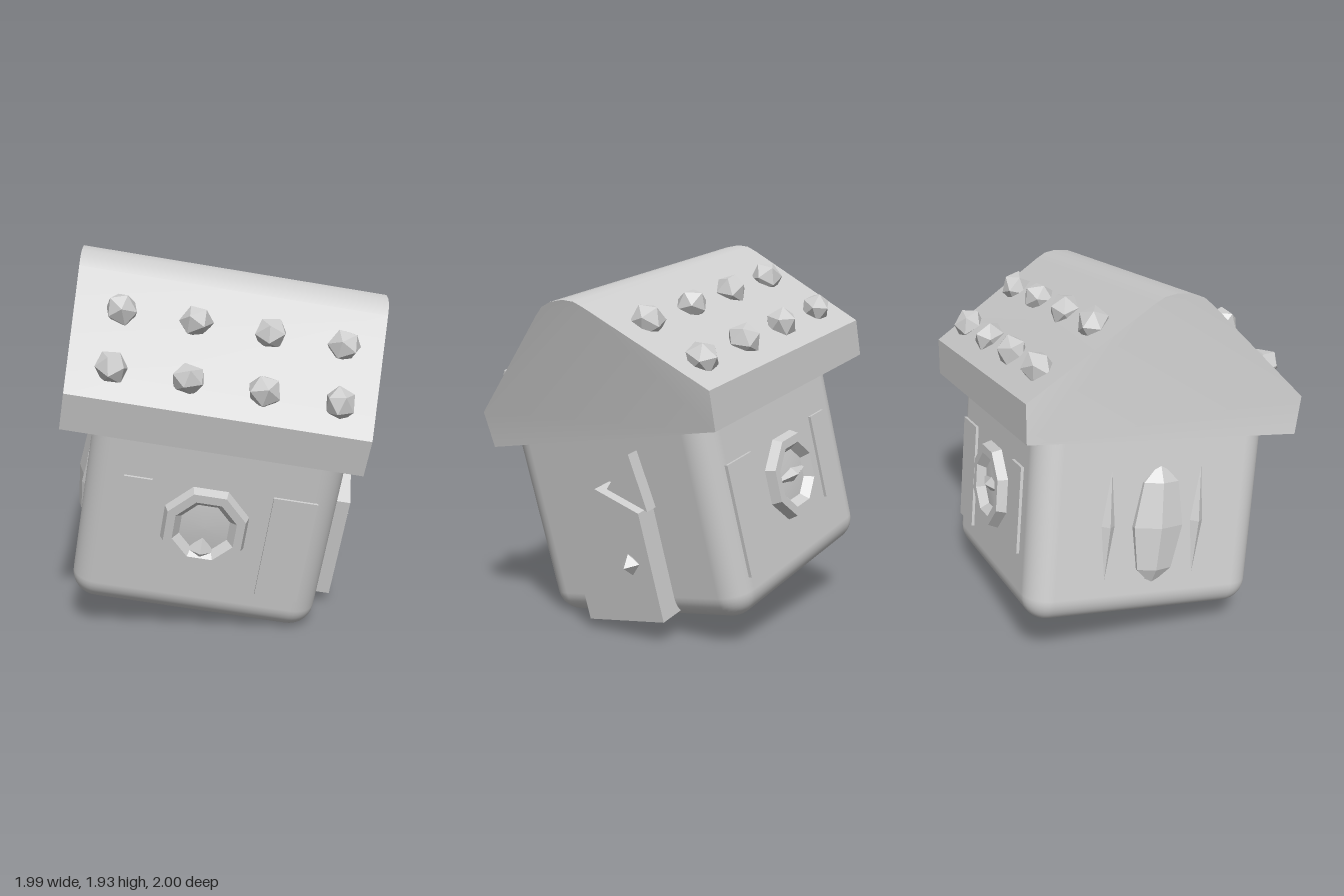
import * as THREE from 'three';
import { toCreasedNormals } from 'three/addons/utils/BufferGeometryUtils.js';
import { RoundedBoxGeometry } from 'three/addons/geometries/RoundedBoxGeometry.js';

const MID_X = -0.21, MID_Z = -0.195; // centre of the roof in house space

export function createModel() {
  const clay = new THREE.MeshStandardMaterial({ color: 0xcccccc });
  clay.name = 'light grey clay';

  const model = new THREE.Group();
  model.name = 'cottage';
  const house = new THREE.Group();
  house.name = 'tiltedHouse';
  model.add(house);

  const add = (name, geo, x = 0, y = 0, z = 0, parent = house) => {
    const mesh = new THREE.Mesh(geo, clay);
    mesh.name = name;
    mesh.position.set(x, y, z);
    parent.add(mesh);
    return mesh;
  };
  // Extruded outline whose depth runs along x; outline x becomes -z
  const prismX = (points, depth) => {
    const shape = new THREE.Shape(points.map(([x, y]) => new THREE.Vector2(x, y)));
    return new THREE.ExtrudeGeometry(shape, { depth, bevelEnabled: false }).rotateY(Math.PI / 2);
  };

  // Walls: a soft block with rounded corners
  add('walls', new RoundedBoxGeometry(1.26, 1.14, 1.23, 5, 0.13), -0.17, 0.65, -0.165);

  // Roof: solid pentagon prism with a rounded ridge, gables leaning outwards
  const half = [[0.7, 1.05], [0.715, 1.24], [0.15, 1.695], [0.1, 1.73], [0.04, 1.747]];
  const outline = [...half, ...half.map(([x, y]) => [-x, y]).reverse()];
  const roof = prismX(outline, 1.47);
  roof.translate(-0.735, 0, 0);
  const p = roof.attributes.position;
  for (let i = 0; i < p.count; i++) {
    const lean = Math.max(0, p.getY(i) - 1.24) * 0.1;
    p.setX(i, p.getX(i) + Math.sign(p.getX(i)) * lean);
  }
  add('roof', toCreasedNormals(roof, 0.5), MID_X, 0, MID_Z);

  // Roof studs: two rows of four on each slope, each turned a little differently
  let seed = 7;
  const random = () => (seed = (seed * 16807) % 2147483647) / 2147483647;
  const studGeo = new THREE.IcosahedronGeometry(0.088, 0);
  for (const side of [1, -1]) {
    for (const [offset, y] of [[0.335, 1.565], [0.595, 1.36]]) {
      for (let i = 0; i < 4; i++) {
        const stud = add('roofStud', studGeo, -0.745 + 0.367 * i, y, MID_Z + side * offset);
        stud.rotation.set(random() * 3, random() * 3, random() * 3);
        stud.scale.set(1, 0.9, 1);
      }
    }
  }

  // Octagonal windows with a raised frame and a shallow pane, front and back
  const windowProfile = [[0.24, -0.03], [0.21, 0.055], [0.165, 0.055], [0.13, 0.012], [0, 0.025]]
    .map(([r, h]) => new THREE.Vector2(r, h));
  const windowGeo = toCreasedNormals(
    new THREE.LatheGeometry(windowProfile, 8, Math.PI / 8).rotateX(Math.PI / 2), 0.2);
  for (const side of [1, -1]) {
    const group = new THREE.Group();
    group.name = side > 0 ? 'frontWindow' : 'backWindow';
    group.position.set(-0.18, 0.62, side > 0 ? 0.445 : -0.775);
    if (side < 0) group.rotation.y = Math.PI;
    house.add(group);
    add('windowFrame', windowGeo, 0, 0, 0, group);
    if (side > 0) {
      const sill = add('windowSill', new THREE.OctahedronGeometry(0.07), 0, -0.13, 0.015, group);
      sill.scale.set(1, 1.2, 0.6);
    } else {
      const bar = add('windowBar', new THREE.OctahedronGeometry(0.16), 0, 0, 0.01, group);
      bar.scale.set(1, 0.3, 0.3);
    }
    // Flat boards beside each window
    add('wallBoard', new THREE.BoxGeometry(0.14, 0.44, 0.03), -0.36 * side, 0, 0.005, group);
    add('wallBoard', new THREE.BoxGeometry(0.22, 0.56, 0.03), 0.42 * side, -0.06, 0.005, group);
  }

  // Door with a peaked top, on the right gable wall
  const door = prismX([[-0.235, 0.13], [0.235, 0.13], [0.235, 0.69], [0, 0.82], [-0.235, 0.69]], 0.16);
  add('door', door, 0.42, 0, -0.155);
  add('doorKnob', new THREE.OctahedronGeometry(0.055), 0.605, 0.44, -0.29);
  // Sharp splinter beside the door peak
  add('doorSplinter', prismX([[0.03, 0.8], [0.25, 0.68], [0.215, 0.97]], 0.1), 0.43, 0, -0.155);

  // Faceted hump on the left gable wall
  const hump = add('sideWindowHump',
    new THREE.SphereGeometry(1, 6, 4).toNonIndexed(), -0.79, 0.57, -0.14);
  hump.geometry.computeVertexNormals();
  hump.scale.set(0.075, 0.32, 0.15);
  for (const z of [-0.4, 0.08]) {
    const ridge = add('sideWindowEdge', new THREE.OctahedronGeometry(1), -0.795, 0.58, z);
    ridge.scale.set(0.035, 0.33, 0.04);
  }

  // Lean and turn the whole house
  const u = new THREE.Vector3(0.824, -0.164, -0.543).normalize();
  const v = new THREE.Vector3(0.519, -0.147, 0.842).cross(u).normalize();
  const w = new THREE.Vector3().crossVectors(u, v);
  house.quaternion.setFromRotationMatrix(new THREE.Matrix4().makeBasis(u, v, w));
  return model;
}
